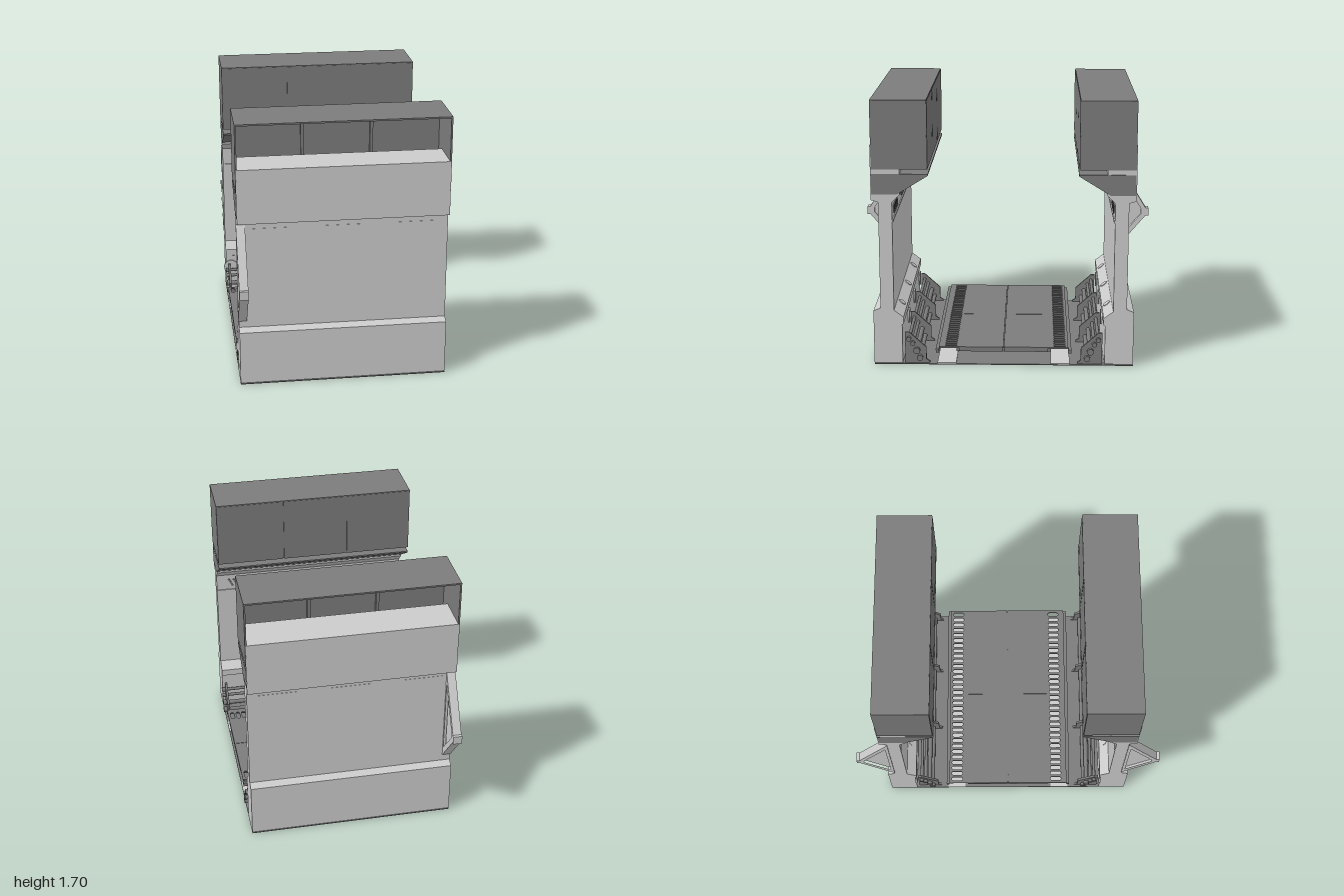
import * as THREE from 'three';

const L = -0.655, R = 0.645, MID = (L + R) / 2, W = R - L;
const light = new THREE.MeshStandardMaterial({ color: 0xcccccc, flatShading: true });
const dark = new THREE.MeshStandardMaterial({ color: 0x7c7c7c, flatShading: true });
const round = new THREE.MeshStandardMaterial({ color: 0x7c7c7c });

export function createModel() {
  const model = new THREE.Group();

  const add = (parent, name, geo, mat, x = 0, y = 0, z = 0) => {
    const m = new THREE.Mesh(geo, mat);
    m.name = name;
    m.position.set(x, y, z);
    parent.add(m);
    return m;
  };
  // Box given by its limits on each axis
  const block = (parent, name, mat, x0, x1, y0, y1, z0, z1) =>
    add(parent, name, new THREE.BoxGeometry(x1 - x0, y1 - y0, Math.abs(z1 - z0)), mat,
      (x0 + x1) / 2, (y0 + y1) / 2, (z0 + z1) / 2);
  const polygon = (pts, s = 1) => new THREE.Shape(pts.map(([a, b]) => new THREE.Vector2(a * s, b)));
  // Cross-section in (z, y), run along x from x0 to x1
  const run = (parent, name, mat, shape, x0, x1) => {
    const geo = new THREE.ExtrudeGeometry(shape, { depth: x1 - x0, bevelEnabled: false, curveSegments: 8 });
    geo.rotateY(-Math.PI / 2);
    return add(parent, name, geo, mat, x1);
  };
  const rod = (parent, name, mat, r, x0, x1, y, z) => {
    const geo = new THREE.CylinderGeometry(r, r, x1 - x0, 16).rotateZ(Math.PI / 2);
    return add(parent, name, geo, mat, (x0 + x1) / 2, y, z);
  };

  // Base sheet and raised floor
  block(model, 'base', dark, L, R, 0, 0.006, -0.82, 0.82);
  const gap = 0.002;
  for (const sx of [0, 1]) for (const sz of [-1, 1]) {
    const x0 = sx ? gap : L, x1 = sx ? R : -gap;
    block(model, 'floorTile', dark, x0, x1, 0.09, 0.12, sz * gap, sz * 0.28);
  }
  block(model, 'floorCore', dark, L + 0.01, R - 0.01, 0.088, 0.112, -0.3, 0.3);

  for (const s of [1, -1]) {
    const side = new THREE.Group();
    side.name = s > 0 ? 'frontWall' : 'backWall';
    model.add(side);

    // Slotted floor grille with a pale strip below and an edge lip
    const grille = polygon([[L, 0.28], [R, 0.28], [R, 0.41], [L, 0.41]]);
    for (let i = 0; i < 32; i++) {
      const x = L + 0.03 + i * 0.04, r = 0.013, hole = new THREE.Path();
      hole.absarc(x, 0.381, r, 0, Math.PI, false);
      hole.absarc(x, 0.331, r, Math.PI, Math.PI * 2, false);
      hole.closePath();
      grille.holes.push(hole);
    }
    const grilleGeo = new THREE.ExtrudeGeometry(grille, { depth: 0.01, bevelEnabled: false, curveSegments: 5 });
    grilleGeo.rotateX(-Math.PI / 2);
    if (s > 0) grilleGeo.translate(0, 0, 0.69);
    add(side, 'floorGrille', grilleGeo, dark, 0, 0.11, 0);
    block(side, 'grilleBacking', light, L, R, 0.007, 0.012, s * 0.3, s * 0.42);
    block(side, 'floorLip', dark, L, R, 0.08, 0.105, s * 0.41, s * 0.43);

    // Wall body
    run(side, 'wallBody', light, polygon([
      [0.64, 0.01], [0.82, 0.01], [0.82, 0.355], [0.775, 0.375], [0.775, 1.06], [0.82, 1.075],
      [0.82, 1.42], [0.57, 1.42], [0.57, 1.275], [0.64, 1.275], [0.64, 1.11], [0.69, 1.06],
      [0.69, 0.36], [0.63, 0.315], [0.63, 0.27], [0.64, 0.265]], s), L, R);
    block(side, 'wallTrim', light, L, R, 0.935, 0.947, s * 0.683, s * 0.692);

    // Sloped shelf under the overhead cabinet
    run(side, 'shelf', dark, polygon([
      [0.815, 1.11], [0.66, 1.11], [0.465, 1.23], [0.465, 1.24], [0.815, 1.24]], s), L - 0.002, R + 0.002);

    // Overhead cabinet, open to the outside and below
    const cabinet = new THREE.Group();
    cabinet.name = 'overheadCabinet';
    side.add(cabinet);
    block(cabinet, 'cabinetTop', dark, L, R, 1.69, 1.7, s * 0.47, s * 0.815);
    for (const x of [L - 0.003, R - 0.007])
      block(cabinet, 'cabinetEnd', dark, x, x + 0.01, 1.27, 1.7, s * 0.47, s * 0.815);
    const seams = [-0.222, 0.208];
    [[L, seams[0] - 0.007], [seams[0] + 0.007, seams[1] - 0.007], [seams[1] + 0.007, R]].forEach(([a, b]) =>
      block(cabinet, 'cabinetDoor', dark, a, b, 1.27, 1.695, s * 0.467, s * 0.477));
    for (const x of seams)
      block(cabinet, 'cabinetDivider', dark, x - 0.01, x + 0.01, 1.27, 1.695, s * 0.475, s * 0.5);

    // Trapezoid vents: plate outside, slanted slats inside
    for (const x of [-0.45, -0.005, 0.45]) {
      const plate = new THREE.ExtrudeGeometry(
        polygon([[-0.13, 0.027], [-0.1, -0.027], [0.1, -0.027], [0.13, 0.027]]),
        { depth: 0.004, bevelEnabled: false });
      add(side, 'ventPlate', plate, light, x, 1.002, s * 0.775 - 0.002);
      for (let i = 0; i < 7; i++) {
        const slat = add(side, 'ventSlat', new THREE.BoxGeometry(0.012, 0.06, 0.01), dark,
          x - 0.1 + i * 0.033, 1.0, s * 0.688);
        slat.rotation.z = -0.45;
      }
    }

    // Round covers on the sloped inner sill and the lower inner face
    for (const x of [-0.42, -0.005, 0.41]) {
      const cover = add(side, 'sillCover', new THREE.CylinderGeometry(0.026, 0.026, 0.008, 20), light,
        x, 0.338, s * 0.66);
      cover.rotation.x = -s * 0.64;
      const disc = add(side, 'wallDisc', new THREE.CylinderGeometry(0.05, 0.05, 0.012, 20), light,
        x - 0.2, 0.18, s * 0.637);
      disc.rotation.x = Math.PI / 2;
    }

    // Pipe brackets and the pipes they carry
    const pipes = [[0.6, 0.17, 0.015], [0.575, 0.14, 0.015], [0.55, 0.092, 0.021], [0.53, 0.045, 0.019]];
    for (const x of [L + 0.015, -0.22, 0.21, R - 0.03])
      run(side, 'pipeBracket', dark, polygon([
        [0.625, 0.006], [0.625, 0.21], [0.6, 0.21], [0.49, 0.11], [0.49, 0.03], [0.468, 0.015],
        [0.468, 0.006]], s), x, x + 0.015);
    for (const [z, y, r] of pipes) {
      rod(side, 'pipe', round, r * 0.7, L, R, y, s * z);
      for (const x of [L - 0.003, R - 0.012])
        rod(side, 'pipeCollar', round, r, x, x + 0.022, y, s * z);
    }

    // Triangular outer fin: frame, recessed web and tip
    const frame = polygon([[0.77, 0.41], [0.98, 0.66], [0.98, 0.715], [0.77, 1.06]], s);
    const inner = [[0.79, 0.49], [0.95, 0.675], [0.95, 0.705], [0.79, 0.965]];
    frame.holes.push(polygon(inner, s));
    run(side, 'finFrame', light, frame, -0.66, -0.605);
    run(side, 'finWeb', light, polygon(inner, s), -0.645, -0.62);
    block(side, 'finTip', light, -0.66, -0.603, 0.66, 0.715, s * 0.975, s * 1.0);
  }
  return model;
}
